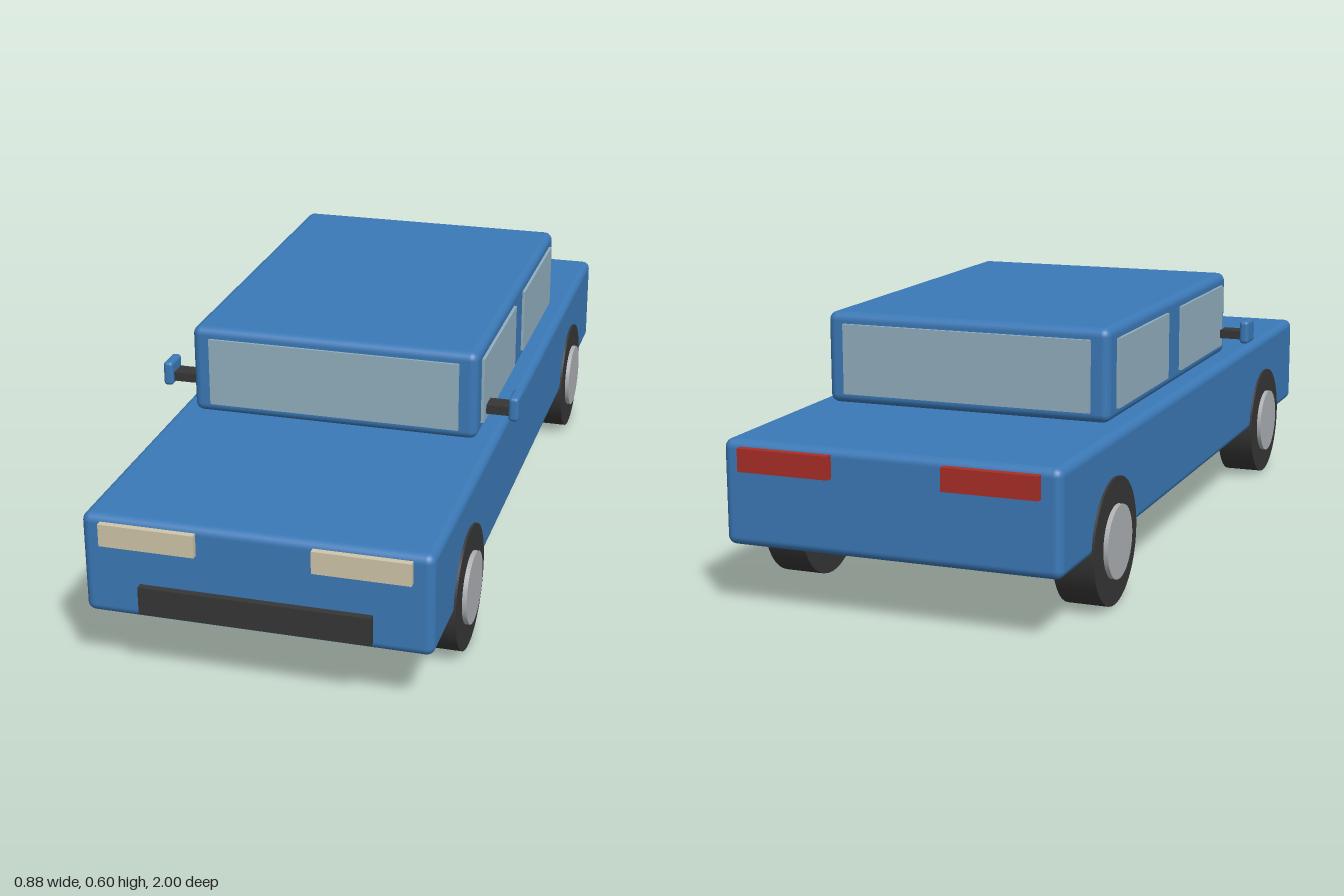
import * as THREE from 'three';
import { RoundedBoxGeometry } from 'three/addons/geometries/RoundedBoxGeometry.js';

const material = (name, color) => {
  const m = new THREE.MeshStandardMaterial({ color });
  m.name = name;
  return m;
};

export function createModel() {
  const paint = material('blue paint', 0x3b79b7);
  const glass = material('window glass', 0x92afbf);
  const rubber = material('black rubber', 0x363636);
  const metal = material('wheel metal', 0xaeb1b4);
  const cream = material('headlight cream', 0xcfc5a8);
  const red = material('tail light red', 0xa92f27);

  const car = new THREE.Group();
  car.name = 'car';

  function add(name, geometry, mat, x, y, z) {
    const mesh = new THREE.Mesh(geometry, mat);
    mesh.name = name;
    mesh.position.set(x, y, z);
    car.add(mesh);
    return mesh;
  }
  // Boxes given by their minimum and maximum corners; radius rounds the edges
  function box(name, mat, [x0, y0, z0], [x1, y1, z1], radius = 0) {
    const size = [x1 - x0, y1 - y0, z1 - z0];
    const geometry = radius ? new RoundedBoxGeometry(...size, 4, radius) : new THREE.BoxGeometry(...size);
    return add(name, geometry, mat, (x0 + x1) / 2, (y0 + y1) / 2, (z0 + z1) / 2);
  }
  // Same box on the left or right side, measured outwards from the middle
  function sideBox(side, name, mat, [x0, y0, z0], [x1, y1, z1], radius) {
    const a = Math.min(side * x0, side * x1), b = Math.max(side * x0, side * x1);
    return box((side > 0 ? 'left' : 'right') + name, mat, [a, y0, z0], [b, y1, z1], radius);
  }

  // Body and cabin
  box('body', paint, [-0.392, 0.145, -0.983], [0.392, 0.383, 0.983], 0.02);
  box('cabin', paint, [-0.348, 0.384, -0.565], [0.348, 0.6, 0.393], 0.02);

  // Front and rear glass, grille
  box('windscreen', glass, [-0.305, 0.408, 0.39], [0.305, 0.574, 0.399]);
  box('rearWindow', glass, [-0.305, 0.408, -0.574], [0.305, 0.574, -0.565]);
  box('grille', rubber, [-0.261, 0.165, 0.975], [0.261, 0.23, 1]);

  for (const side of [1, -1]) {
    // Side windows
    sideBox(side, 'FrontWindow', glass, [0.347, 0.411, -0.03], [0.355, 0.571, 0.345]);
    sideBox(side, 'RearSideWindow', glass, [0.347, 0.411, -0.512], [0.355, 0.571, -0.137]);

    // Lights
    sideBox(side, 'Headlight', cream, [0.13, 0.317, 0.975], [0.347, 0.369, 0.997]);
    sideBox(side, 'TailLight', red, [0.13, 0.317, -1], [0.347, 0.369, -0.975]);

    // Wing mirror on its arm
    sideBox(side, 'MirrorArm', rubber, [0.361, 0.437, 0.302], [0.418, 0.459, 0.348]);
    sideBox(side, 'Mirror', paint, [0.415, 0.427, 0.292], [0.439, 0.487, 0.36], 0.009);

    // Wheels with hubs showing on both faces
    for (const [end, z] of [['Front', 0.656], ['Rear', -0.656]]) {
      const prefix = (side > 0 ? 'left' : 'right') + end;
      const tyre = add(prefix + 'Tyre', new THREE.CylinderGeometry(0.145, 0.145, 0.095, 40), rubber, side * 0.35, 0.145, z);
      const hub = add(prefix + 'Hub', new THREE.CylinderGeometry(0.084, 0.084, 0.116, 32), metal, side * 0.35, 0.145, z);
      tyre.rotation.z = hub.rotation.z = Math.PI / 2;
    }
  }
  return car;
}
